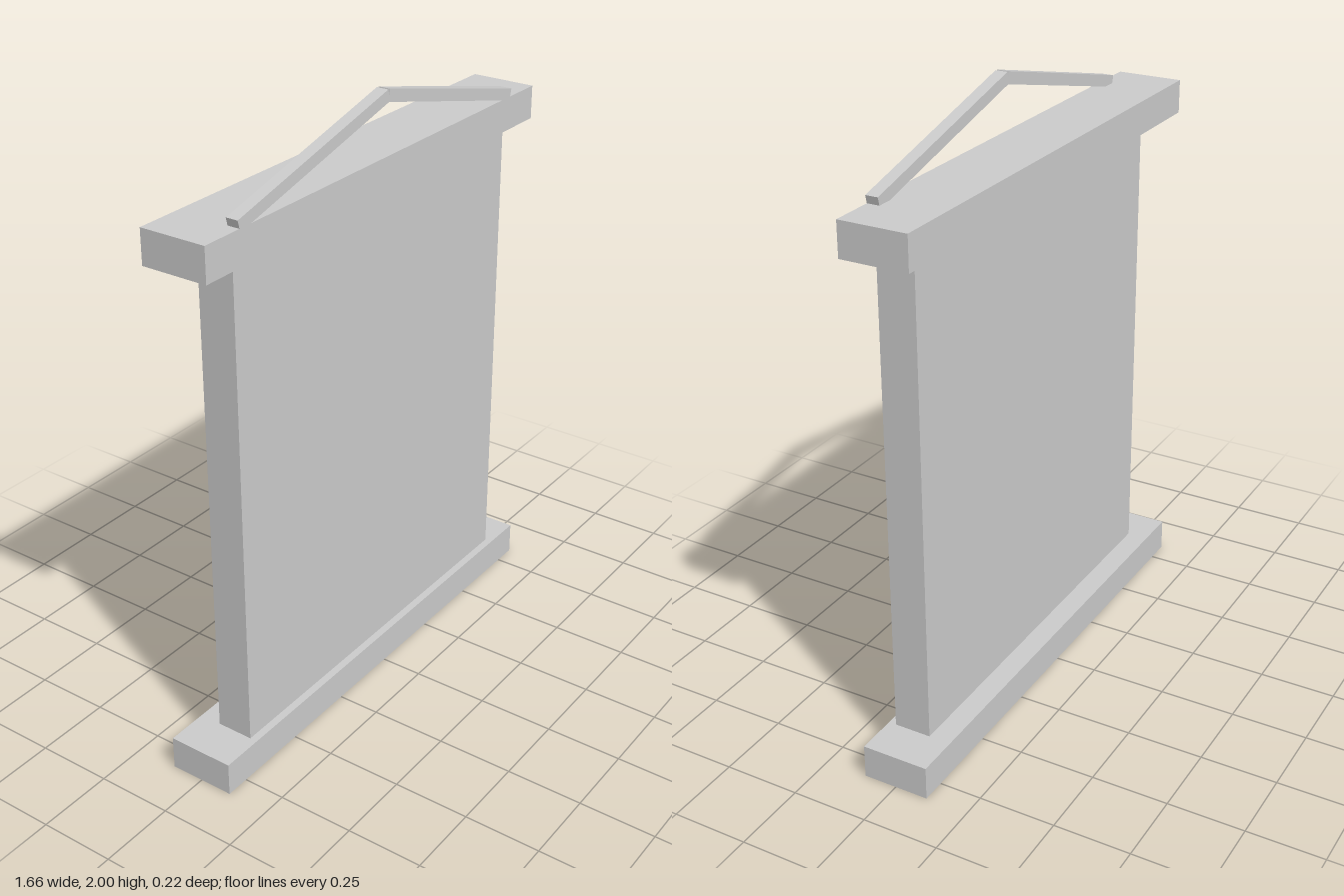
import * as THREE from 'three';

export function createModel() {
  const group = new THREE.Group();
  const material = new THREE.MeshStandardMaterial({ color: 0xcccccc, flatShading: true });

  function box(name, [w, h, d], [x, y, z], tilt = 0) {
    const mesh = new THREE.Mesh(new THREE.BoxGeometry(w, h, d), material);
    mesh.name = name;
    mesh.position.set(x, y, z);
    mesh.rotation.z = tilt;
    group.add(mesh);
  }

  // Wide bars at the bottom and top
  box('bottomBar', [1.66, 0.11, 0.22], [0, 0.055, 0]);
  box('topBar', [1.66, 0.11, 0.22], [0, 1.745, 0]);

  // Hanging panel, set slightly forward, with its ends inside the bars
  box('panel', [1.384, 1.66, 0.122], [0, 0.9, 0.024]);

  // Two sloping cords that meet above the middle of the top bar
  for (const side of [-1, 1]) {
    box(side < 0 ? 'rightCord' : 'leftCord', [0.712, 0.038, 0.04],
      [side * 0.345, 1.894, 0.09], -side * 0.248);
  }

  return group;
}
